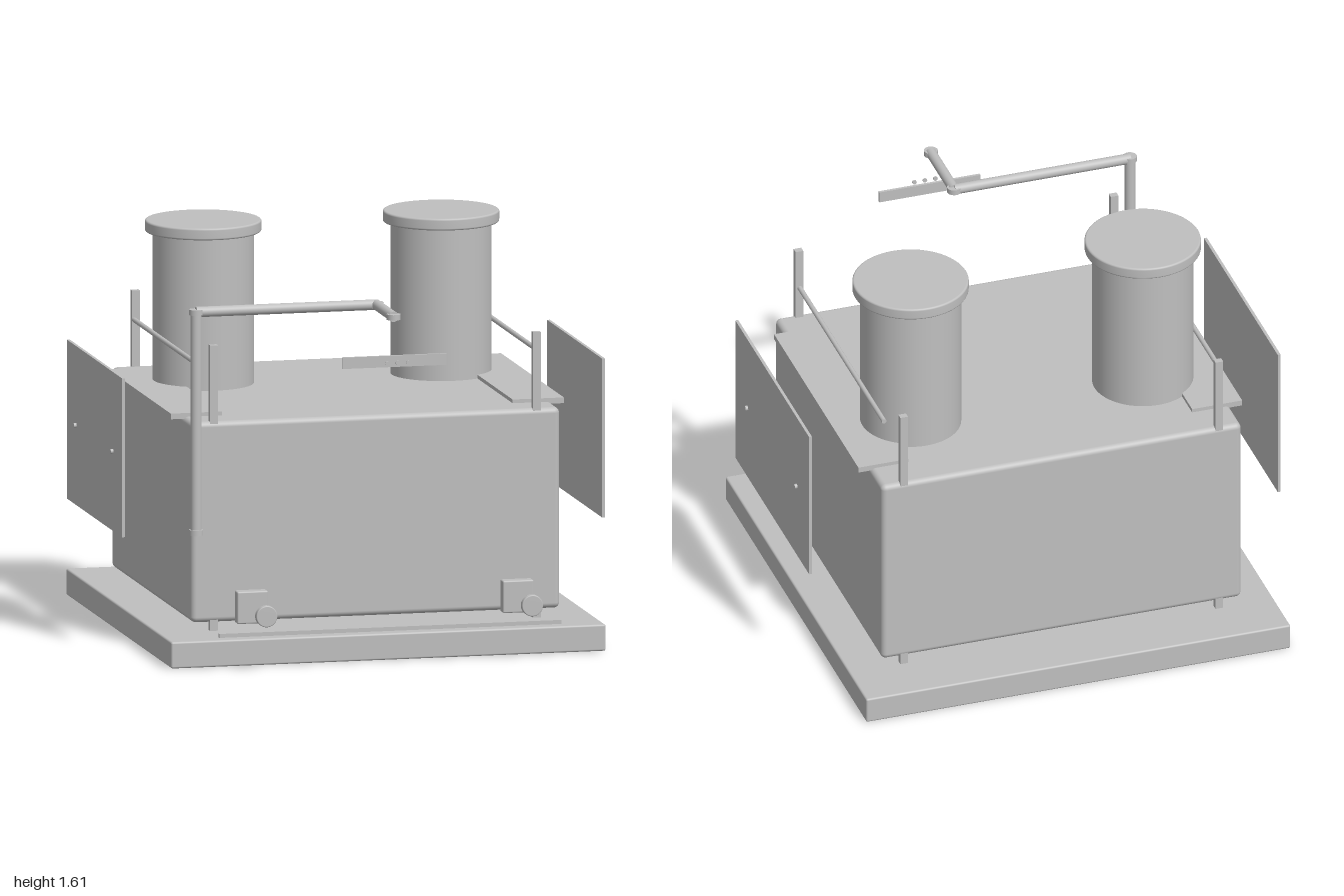
import * as THREE from 'three';
import { RoundedBoxGeometry } from 'three/addons/geometries/RoundedBoxGeometry.js';

export function createModel() {
  const model = new THREE.Group();
  const grey = new THREE.MeshStandardMaterial({ color: 0xbfbfbf });
  grey.name = 'plainGrey';

  function add(name, geometry, x = 0, y = 0, z = 0) {
    const mesh = new THREE.Mesh(geometry, grey);
    mesh.name = name;
    mesh.position.set(x, y, z);
    model.add(mesh);
    return mesh;
  }

  // Box given by its limits on each axis, with an optional edge radius
  function box(name, [x0, x1], [y0, y1], [z0, z1], r = 0) {
    const size = [x1 - x0, y1 - y0, z1 - z0];
    const geometry = r ? new RoundedBoxGeometry(...size, 4, r) : new THREE.BoxGeometry(...size);
    return add(name, geometry, (x0 + x1) / 2, (y0 + y1) / 2, (z0 + z1) / 2);
  }

  // Cylinder centred on a point, along the given axis
  function rod(name, r, length, axis, x, y, z, sides = 32) {
    const geometry = new THREE.CylinderGeometry(r, r, length, sides);
    if (axis === 'x') geometry.rotateZ(Math.PI / 2);
    if (axis === 'z') geometry.rotateX(Math.PI / 2);
    return add(name, geometry, x, y, z);
  }

  // Upright disc with softly rounded rims, standing on y = 0
  function softDisc(r, h, bevel) {
    const points = [new THREE.Vector2(0, 0)];
    for (let i = 0; i <= 4; i++) {
      const a = (i / 4) * Math.PI / 2;
      points.push(new THREE.Vector2(r - bevel + bevel * Math.sin(a), bevel - bevel * Math.cos(a)));
    }
    for (let i = 0; i <= 4; i++) {
      const a = (i / 4) * Math.PI / 2;
      points.push(new THREE.Vector2(r - bevel + bevel * Math.cos(a), h - bevel + bevel * Math.sin(a)));
    }
    points.push(new THREE.Vector2(0, h));
    return new THREE.LatheGeometry(points, 64);
  }

  // Base slab and main body
  box('base', [-0.89, 0.89], [0, 0.107], [-0.985, 0.795], 0.008);
  box('body', [-0.755, 0.755], [0.142, 0.952], [-0.775, 0.577], 0.022);

  for (const s of [-1, 1]) {
    // Drum with a wider lid
    rod('drum', 0.202, 0.63, 'y', s * 0.487, 1.255, -0.33, 64);
    add('drumLid', softDisc(0.232, 0.048, 0.008), s * 0.487, 1.564, -0.33);

    // Corner posts running from the base to above the body
    for (const z of [-0.76, 0.56]) {
      box('cornerPost', [s * 0.661 - 0.016, s * 0.661 + 0.016], [0.1, 1.26], [z - 0.013, z + 0.013]);
    }

    // Side shelf and the rail above it
    box('sideShelf', [s * 0.7 - 0.105, s * 0.7 + 0.105], [0.944, 0.967], [-0.628, 0.435]);
    rod('sideRail', 0.01, 1.063, 'z', s * 0.697, 1.163, -0.097, 16);

    // Side panel with two studs
    box('sidePanel', [s * 0.983 - 0.006, s * 0.983 + 0.006], [0.464, 1.106], [-0.56, 0.37]);
    for (const z of [-0.405, 0.217]) {
      rod('panelStud', 0.01, 0.016, 'x', s * 0.992, 0.786, z, 16);
    }

    // Front lamp block and its lens disc
    box('lampBlock', [s * 0.544 - 0.063, s * 0.544 + 0.063], [0.16, 0.29], [0.695, 0.745], 0.006);
    const lens = add('lampLens', softDisc(0.043, 0.028, 0.004), s * 0.544, 0.228, 0.957);
    lens.rotation.x = Math.PI / 2;
  }

  // Bar along the front edge
  box('frontBar', [-0.7, 0.7], [0.122, 0.138], [0.808, 0.824]);

  // Bent pipe: riser, cross arm, forward spout
  rod('pipeRiser', 0.022, 0.89, 'y', -0.738, 0.955, 0.587);
  rod('pipeArm', 0.021, 0.738, 'x', -0.369, 1.4, 0.585);
  rod('pipeSpout', 0.021, 0.295, 'z', 0, 1.4, 0.732);

  // Collars at the ends and bends of the pipe
  const collars = [[-0.738, 0.51, 0.587], [-0.738, 1.4, 0.587], [0, 1.4, 0.585], [0, 1.4, 0.878]];
  for (const [x, y, z] of collars) rod('pipeCollar', 0.028, 0.022, 'y', x, y, z);

  // Hanging control strip with three buttons before it
  box('controlStrip', [-0.212, 0.212], [1.201, 1.247], [0.889, 0.9]);
  for (const x of [-0.044, 0, 0.044]) rod('button', 0.009, 0.006, 'z', x, 1.226, 0.952, 16);

  return model;
}
